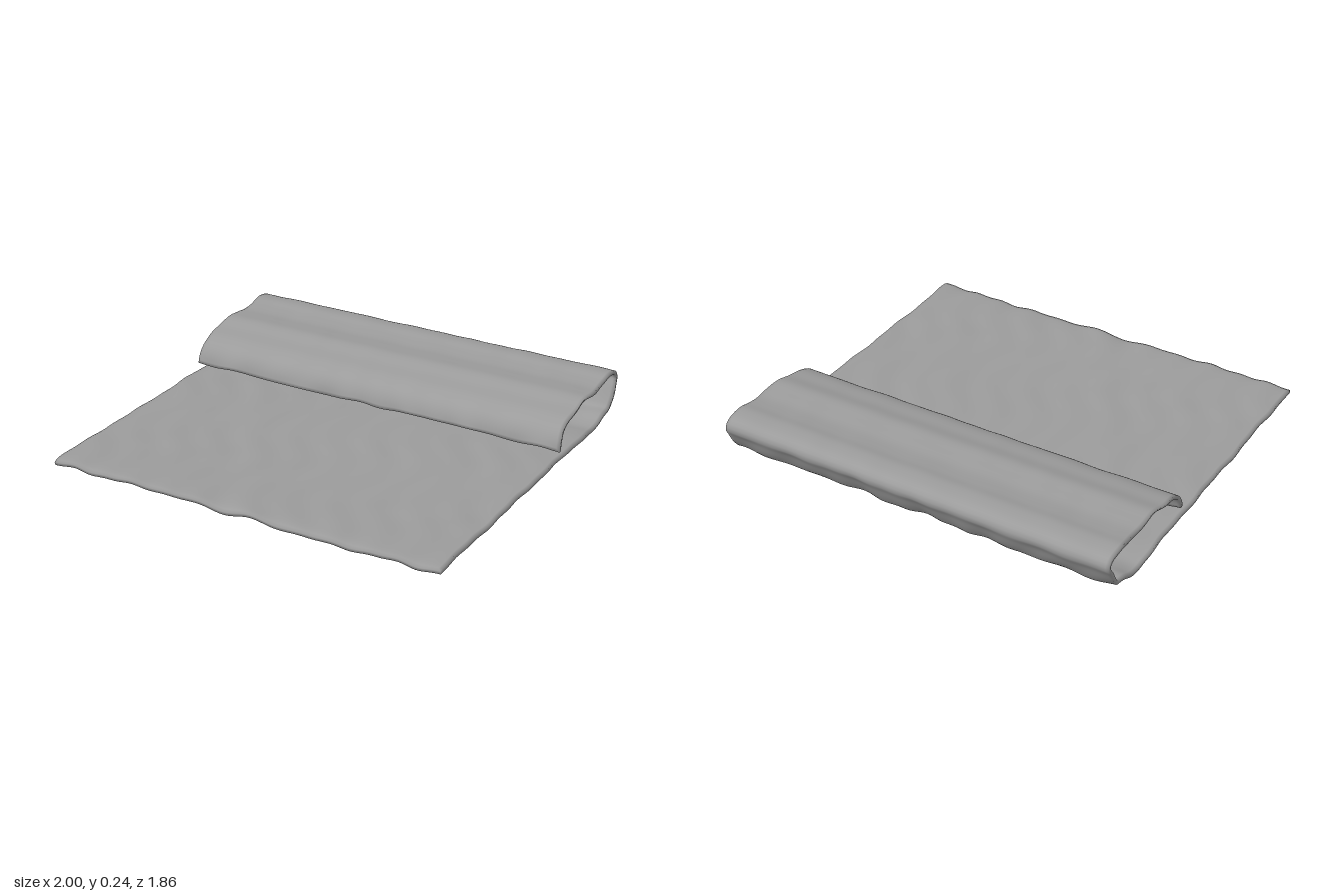
import * as THREE from 'three';

const NX = 120; // steps across the width
const NS = 170; // steps along the folded profile

// Side profile of the cloth as [z, y], from the front edge round the rear fold to the loose lip
const PROFILE = [
  [0.925, 0.031], [0.905, 0.037], [0.6, 0.037], [0.3, 0.035], [0, 0.036], [-0.3, 0.034], [-0.5, 0.032],
  [-0.58, 0.025], [-0.65, 0.017], [-0.71, 0.026], [-0.77, 0.045], [-0.835, 0.056], [-0.862, 0.09],
  [-0.893, 0.15], [-0.916, 0.195], [-0.898, 0.224], [-0.82, 0.239], [-0.75, 0.228], [-0.67, 0.221],
  [-0.6, 0.227], [-0.525, 0.233], [-0.44, 0.212], [-0.35, 0.192], [-0.29, 0.16], [-0.262, 0.12], [-0.25, 0.08],
];

// Soft wrinkles over the cloth
function wrinkle(x, s) {
  return 0.35 * Math.sin(9 * x + 5 * s + 1.5 * Math.sin(5 * x + 3 * s))
    + 0.35 * Math.sin(19 * x - 9 * s + 1.2 * Math.sin(7 * s))
    + 0.3 * Math.sin(33 * x + 8 * s + 2 * Math.sin(8 * s - 4 * x));
}

// Closed sheet: upper and lower layers lofted across x, joined by rounded hems
function clothGeometry() {
  const curve = new THREE.CatmullRomCurve3(PROFILE.map(([z, y]) => new THREE.Vector3(0, y, z)));
  const points = curve.getSpacedPoints(NS - 1);
  const ring = 2 * NS;
  const positions = [];
  const index = [];

  for (let i = 0; i <= NX; i++) {
    const u = (i / NX) * 2 - 1;
    for (let j = 0; j < ring; j++) {
      const upper = j < NS;
      const k = upper ? j : ring - 1 - j;
      const p = points[k];
      const t = curve.getTangentAt(k / (NS - 1));
      const s = (k / (NS - 1)) * 2.9;
      // stronger wrinkles round the rear fold and at both loose ends, little on the top flap
      const bend = Math.exp(-(((s - 1.9) / 0.13) ** 2));
      const flap = THREE.MathUtils.smoothstep(s, 2.0, 2.2);
      const end = Math.exp(-Math.min(k, NS - 1 - k) / 3);
      const amount = 0.004 + 0.006 * bend - 0.0025 * flap + 0.006 * end;
      const half = 0.009 - 0.004 * Math.exp(-(((p.z + 0.48) / 0.1) ** 2)) * flap;
      const offset = amount * wrinkle(u, s) + (upper ? half : -half);
      // slightly wavy hems
      const hem = 0.003 * Math.sin(13 * s + u) + 0.002 * Math.sin(29 * s);
      const wave = 0.004 * end * Math.sin(12 * u + 2 * Math.sin(7 * u));
      positions.push(
        u * (0.994 + hem),
        Math.max(0, p.y - t.z * offset + t.y * wave),
        p.z + t.y * offset + t.z * wave,
      );
    }
  }

  // Faces of both layers and the front and lip hems
  for (let i = 0; i < NX; i++) {
    for (let j = 0; j < ring; j++) {
      const next = (j + 1) % ring;
      const a = i * ring + j, b = a + ring;
      const c = i * ring + next, d = c + ring;
      index.push(a, b, c, b, d, c);
    }
  }
  // Side hems
  for (const base of [0, NX * ring]) {
    for (let k = 0; k < NS - 1; k++) {
      const a0 = base + k, a1 = a0 + 1;
      const b0 = base + ring - 1 - k, b1 = b0 - 1;
      if (base) index.push(a0, b0, a1, b0, b1, a1);
      else index.push(a0, a1, b0, b0, a1, b1);
    }
  }

  const geometry = new THREE.BufferGeometry();
  geometry.setAttribute('position', new THREE.Float32BufferAttribute(positions, 3));
  geometry.setIndex(index);
  geometry.computeVertexNormals();
  return geometry;
}

export function createModel() {
  const group = new THREE.Group();
  group.name = 'foldedBlanket';
  const material = new THREE.MeshStandardMaterial({ color: 0x9c9c9c });
  const cloth = new THREE.Mesh(clothGeometry(), material);
  cloth.name = 'blanketCloth';
  group.add(cloth);
  return group;
}
